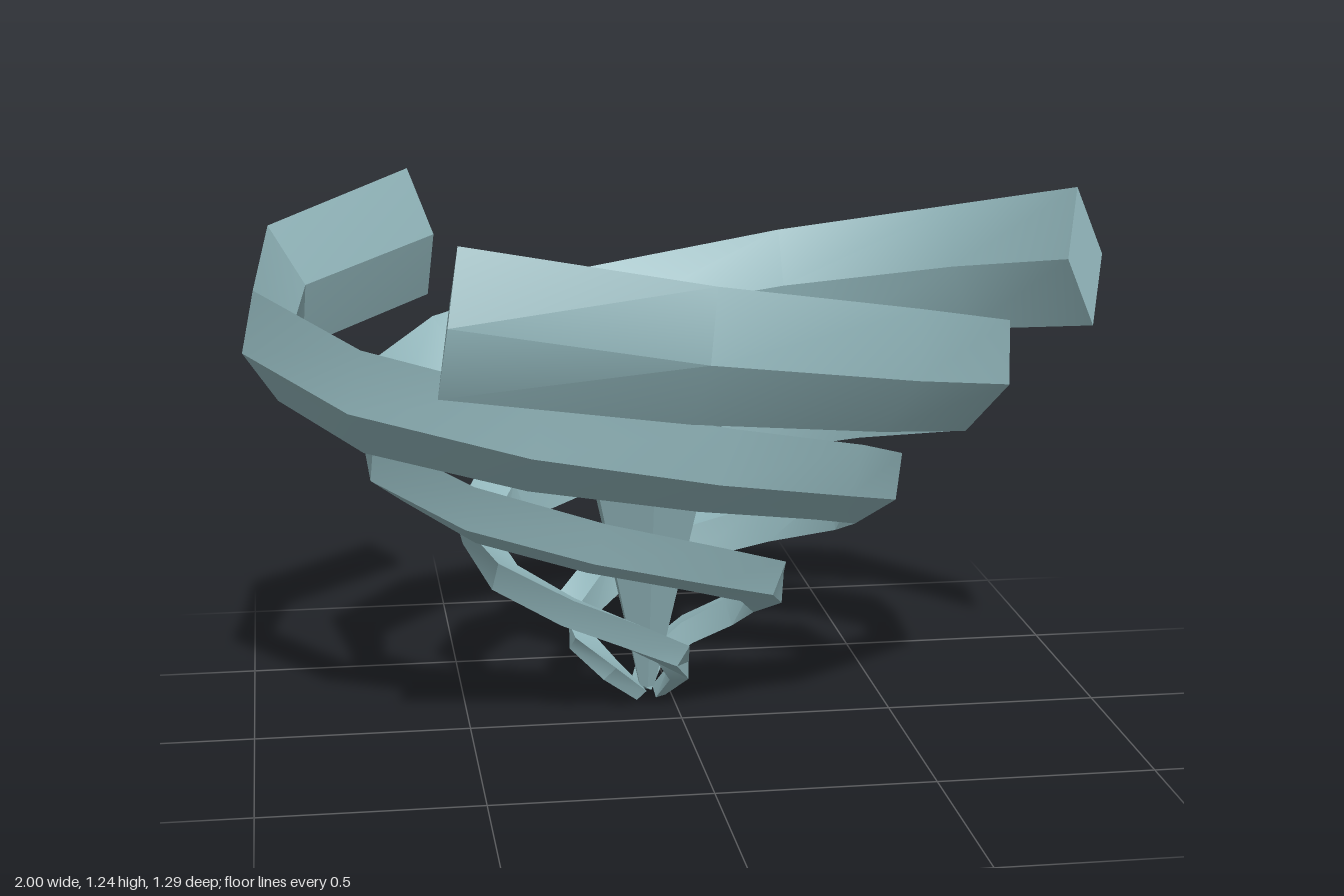
import * as THREE from 'three';
import { toCreasedNormals } from 'three/addons/utils/BufferGeometryUtils.js';

const SEGMENTS = 15;
const SWEEP = THREE.MathUtils.degToRad(470);
const ROLL = THREE.MathUtils.degToRad(55);

// Point on a widening, rising spiral: t = 0 at the tip, 1 at the top
function spiralPoint(t, endAngle) {
  const a = endAngle - (1 - t) * SWEEP;
  return new THREE.Vector3(
    -0.06 + (0.03 + 0.983 * t) * Math.cos(a),
    0.025 + 1.065 * t - 0.11 * t * (1 - t),
    -0.18 + 0.155 * t + (0.03 + 0.633 * t) * Math.sin(a)
  );
}

// Tall diamond section swept along the spiral, growing towards the top
// and flaring outwards more and more towards the tip
function ribbonGeometry(endAngle) {
  const path = [];
  for (let i = 0; i <= SEGMENTS; i++) path.push(spiralPoint(i / SEGMENTS, endAngle));

  const positions = [];
  const index = [];
  path.forEach((p, i) => {
    const t = i / SEGMENTS;
    const tangent = path[Math.min(i + 1, SEGMENTS)].clone().sub(path[Math.max(i - 1, 0)]).normalize();
    const level = new THREE.Vector3(tangent.z, 0, -tangent.x).normalize();
    const outward = level.applyAxisAngle(tangent, -ROLL * (1 - t) ** 0.7);
    const up = new THREE.Vector3().crossVectors(tangent, outward);
    const halfHeight = 0.027 + 0.135 * t;
    const halfWidth = 0.02 + 0.038 * Math.sqrt(t);
    // corners: top, outer, bottom, inner
    for (const [u, o] of [[1, 0], [0, 1], [-1, 0], [0, -1]]) {
      const v = p.clone().addScaledVector(up, u * halfHeight).addScaledVector(outward, o * halfWidth);
      positions.push(v.x, v.y, v.z);
    }
  });
  for (let i = 0; i < SEGMENTS; i++) {
    for (let j = 0; j < 4; j++) {
      const a = i * 4 + j;
      const b = i * 4 + (j + 1) % 4;
      index.push(a, a + 4, b + 4, a, b + 4, b);
    }
  }
  // end caps
  const e = SEGMENTS * 4;
  index.push(0, 1, 2, 0, 2, 3, e, e + 2, e + 1, e, e + 3, e + 2);

  const geometry = new THREE.BufferGeometry();
  geometry.setAttribute('position', new THREE.Float32BufferAttribute(positions, 3));
  geometry.setIndex(index);
  geometry.computeVertexNormals();
  return toCreasedNormals(geometry, 0.6);
}

// Six-sided tapered section of the central funnel
function funnelSection(name, topRadius, bottomRadius, y0, y1, material) {
  const geometry = new THREE.CylinderGeometry(topRadius, bottomRadius, y1 - y0, 6);
  const mesh = new THREE.Mesh(toCreasedNormals(geometry, 0.4), material);
  mesh.name = name;
  mesh.position.set(-0.06, (y0 + y1) / 2, -0.175);
  return mesh;
}

export function createModel() {
  const model = new THREE.Group();
  model.name = 'whirlwind';
  const windBlue = new THREE.MeshStandardMaterial({ color: 0x8fb3b8 });
  windBlue.name = 'windBlue';

  // Central funnel with a flared rim
  const funnel = new THREE.Group();
  funnel.name = 'funnel';
  funnel.add(
    funnelSection('funnelStem', 0.17, 0.02, 0.04, 0.66, windBlue),
    funnelSection('funnelRim', 0.265, 0.17, 0.66, 0.835, windBlue)
  );
  model.add(funnel);

  // Three spiral ribbons a third of a turn apart
  for (let k = 0; k < 3; k++) {
    const ribbon = new THREE.Mesh(ribbonGeometry(k * Math.PI * 2 / 3), windBlue);
    ribbon.name = `spiralRibbon${k + 1}`;
    model.add(ribbon);
  }
  return model;
}
